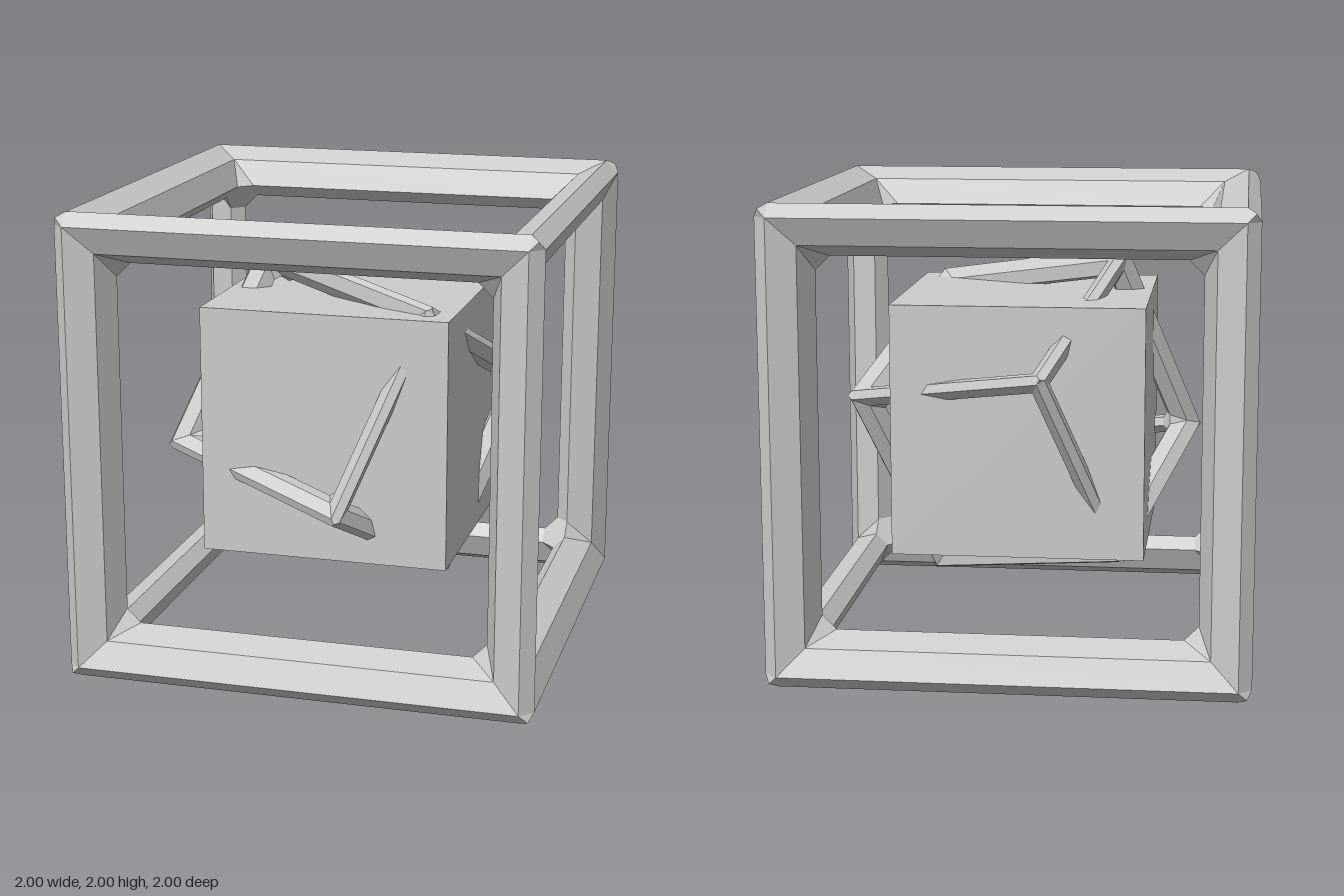
import * as THREE from 'three';
import { ConvexGeometry } from 'three/addons/geometries/ConvexGeometry.js';

const material = new THREE.MeshStandardMaterial({ color: 0xcccccc, flatShading: true });

// Hexagonal beam section, long along the diagonal: [x, z, half length at that edge]
const OUT = 0.945, MID = 0.832, WEB = 0.72;
const section = [
  [1, OUT, OUT], [OUT, 1, OUT], [MID, 0.948, MID],
  [0.78, 0.835, WEB], [0.835, 0.78, WEB], [0.948, MID, MID],
];

// Upright beam with mitred ends, on the +x +z edge of a cube of half size 1
function beamGeometry() {
  const positions = [];
  section.forEach(([x, z, h], i) => {
    const [x2, z2, h2] = section[(i + 1) % section.length];
    positions.push(x, -h, z, x, h, z, x2, -h2, z2);
    positions.push(x2, -h2, z2, x, h, z, x2, h2, z2);
  });
  const geometry = new THREE.BufferGeometry();
  geometry.setAttribute('position', new THREE.Float32BufferAttribute(positions, 3));
  geometry.computeVertexNormals();
  return geometry;
}

// Corner block: blunt tip outside, flat web inside, filling the gap between three beams
function cornerGeometry() {
  const points = [new THREE.Vector3(0.98, 0.98, 0.98)];
  for (const [x, z, h] of section) {
    points.push(new THREE.Vector3(x, h, z), new THREE.Vector3(z, x, h), new THREE.Vector3(h, z, x));
  }
  return new ConvexGeometry(points);
}

// Open cube frame of half size 1: twelve beams and eight corners
function cubeFrame(name) {
  const frame = new THREE.Group();
  frame.name = name;
  const beam = beamGeometry(), corner = cornerGeometry();
  const diagonal = new THREE.Vector3(1, 1, 1).normalize();
  for (let axis = 0; axis < 3; axis++) {
    const beams = new THREE.Group();
    beams.name = 'parallelBeams';
    beams.quaternion.setFromAxisAngle(diagonal, axis * Math.PI * 2 / 3);
    for (let k = 0; k < 4; k++) {
      const mesh = new THREE.Mesh(beam, material);
      mesh.name = 'beam';
      mesh.rotation.y = k * Math.PI / 2;
      beams.add(mesh);
    }
    frame.add(beams);
  }
  for (const flip of [0, Math.PI]) {
    for (let k = 0; k < 4; k++) {
      const mesh = new THREE.Mesh(corner, material);
      mesh.name = 'corner';
      mesh.rotation.set(flip, k * Math.PI / 2, 0);
      frame.add(mesh);
    }
  }
  return frame;
}

export function createModel() {
  const model = new THREE.Group();
  model.name = 'nestedCubes';

  const outer = cubeFrame('outerFrame');
  outer.position.y = 1;
  model.add(outer);

  // Half-size frame, tilted so its corners poke out of the core
  const inner = cubeFrame('tiltedFrame');
  const a = new THREE.Vector3(0.87, -0.16, 0.415).normalize();
  const b = new THREE.Vector3(0.30, -0.45, -0.814).normalize();
  const c = a.clone().cross(b).normalize();
  b.crossVectors(c, a);
  inner.quaternion.setFromRotationMatrix(new THREE.Matrix4().makeBasis(a, b, c));
  inner.scale.setScalar(0.498);
  inner.position.y = 1;
  model.add(inner);

  // Solid core
  const core = new THREE.Mesh(new THREE.BoxGeometry(1.072, 1.072, 1.072), material);
  core.name = 'core';
  core.position.set(0, 1.004, -0.003);
  model.add(core);

  return model;
}
